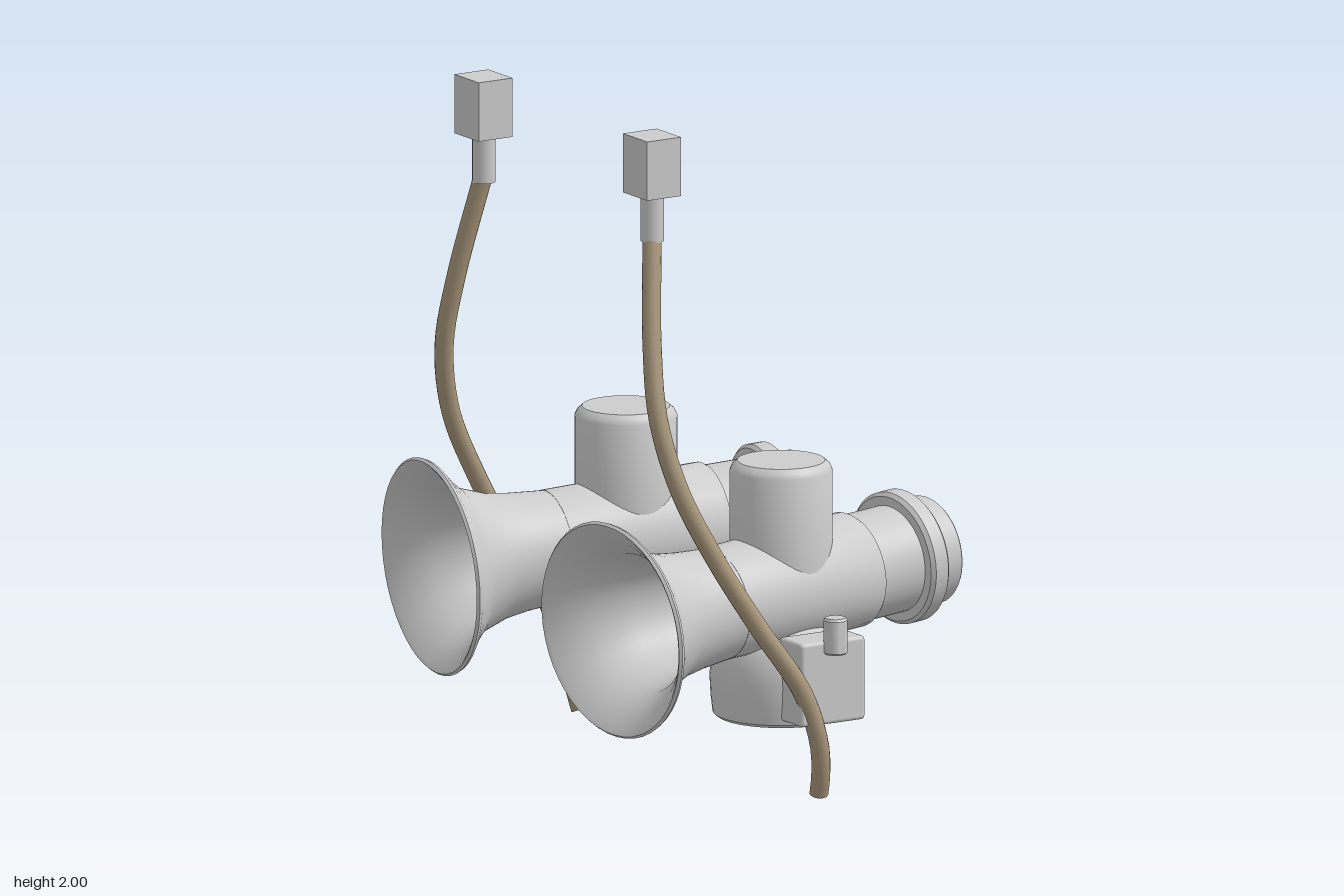
import * as THREE from 'three';
import { toCreasedNormals } from 'three/addons/utils/BufferGeometryUtils.js';
import { RoundedBoxGeometry } from 'three/addons/geometries/RoundedBoxGeometry.js';

const grey = new THREE.MeshStandardMaterial({ color: 0xcccccc });
grey.name = 'light grey metal';
const tan = new THREE.MeshStandardMaterial({ color: 0xa9987c });
tan.name = 'tan hose';

function part(parent, name, geometry, material, x = 0, y = 0, z = 0) {
  const mesh = new THREE.Mesh(geometry, material);
  mesh.name = name;
  mesh.position.set(x, y, z);
  parent.add(mesh);
  return mesh;
}

// Turned part from [radius, height] pairs
function turned(profile, crease = 0.6, sides = 48) {
  const points = profile.map(([r, h]) => new THREE.Vector2(r, h));
  return toCreasedNormals(new THREE.LatheGeometry(points, sides), crease);
}

// One horn with its hose; side = 1 is the front one, -1 its mirror image
function createHorn(side) {
  const horn = new THREE.Group();
  horn.name = side > 0 ? 'frontHorn' : 'rearHorn';

  // Barrel, turned about a tilted axis that starts at the bell mouth
  const barrel = new THREE.Group();
  barrel.name = 'barrel';
  barrel.position.set(-0.578, 0.547, 0.49 * side);
  const axis = new THREE.Vector3(1, 0.059, -0.118 * side).normalize();
  barrel.quaternion.setFromUnitVectors(new THREE.Vector3(0, 1, 0), axis);
  horn.add(barrel);

  // Hollow bell: throat, inner wall, lip, outer wall
  part(barrel, 'bell', turned([
    [0, 0.42], [0.145, 0.42], [0.15, 0.36], [0.17, 0.22], [0.208, 0.105], [0.26, 0.045], [0.306, 0.002],
    [0.316, -0.004], [0.323, 0.004], [0.319, 0.014],
    [0.268, 0.055], [0.22, 0.105], [0.187, 0.2], [0.175, 0.28], [0.166, 0.386],
  ], 0.85), grey);
  part(barrel, 'tube', turned([
    [0.16, 0.386], [0.167, 0.386], [0.171, 0.892], [0.166, 0.9], [0, 0.9],
  ]), grey);
  part(barrel, 'neck', turned([[0.159, 0.88], [0.159, 1.07]]), grey);
  part(barrel, 'collar', turned([
    [0.15, 1.052], [0.186, 1.052], [0.197, 1.063], [0.197, 1.109], [0.186, 1.12], [0.15, 1.12],
  ]), grey);
  part(barrel, 'endCap', turned([
    [0.16, 1.1], [0.16, 1.19], [0.156, 1.195], [0, 1.195],
  ]), grey);

  // Upright canister above and rounded cup below
  part(horn, 'topCanister', turned([
    [0.15, 0.6], [0.15, 0.938], [0.143, 0.953], [0.128, 0.966], [0, 0.966],
  ]), grey, 0.053, 0, 0.42 * side);
  part(horn, 'bottomCup', turned([
    [0, 0.207], [0.188, 0.207], [0.2, 0.217], [0.206, 0.27], [0.209, 0.33],
    [0.204, 0.38], [0.19, 0.425], [0.165, 0.46], [0.12, 0.49], [0, 0.5],
  ]), grey, 0.053, 0, 0.42 * side);

  // Side bracket with its knob
  part(horn, 'sideBox', new RoundedBoxGeometry(0.222, 0.25, 0.125, 2, 0.012), grey, 0.056, 0.355, 0.638 * side);
  part(horn, 'knob', turned([
    [0, 0.442], [0.03, 0.442], [0.035, 0.447], [0.035, 0.543], [0.03, 0.55], [0, 0.55],
  ], 0.6, 24), grey, 0.056, 0, 0.71 * side);

  // Hose rising to a connector and block
  const path = new THREE.CatmullRomCurve3([
    [0.04, 0.014, 0.645], [0.032, 0.08, 0.668], [0.013, 0.18, 0.687], [-0.045, 0.335, 0.688],
    [-0.19, 0.55, 0.668], [-0.32, 0.76, 0.645], [-0.425, 0.97, 0.62], [-0.473, 1.18, 0.58],
    [-0.463, 1.395, 0.53], [-0.417, 1.7, 0.458],
  ].map(([x, y, z]) => new THREE.Vector3(x, y, z * side)));
  part(horn, 'hose', new THREE.TubeGeometry(path, 48, 0.028, 16), tan);
  const end = part(horn, 'hoseEnd', new THREE.CircleGeometry(0.028, 16), tan, 0.04, 0.014, 0.645 * side);
  end.quaternion.setFromUnitVectors(new THREE.Vector3(0, 0, 1), path.getTangent(0).negate());
  part(horn, 'connector', new THREE.CylinderGeometry(0.034, 0.034, 0.14, 24), grey, -0.415, 1.755, 0.456 * side);
  part(horn, 'connectorBlock', new THREE.BoxGeometry(0.117, 0.176, 0.132), grey, -0.416, 1.912, 0.456 * side);
  return horn;
}

export function createModel() {
  const model = new THREE.Group();
  model.name = 'twinHorns';
  for (const side of [1, -1]) model.add(createHorn(side));
  return model;
}
